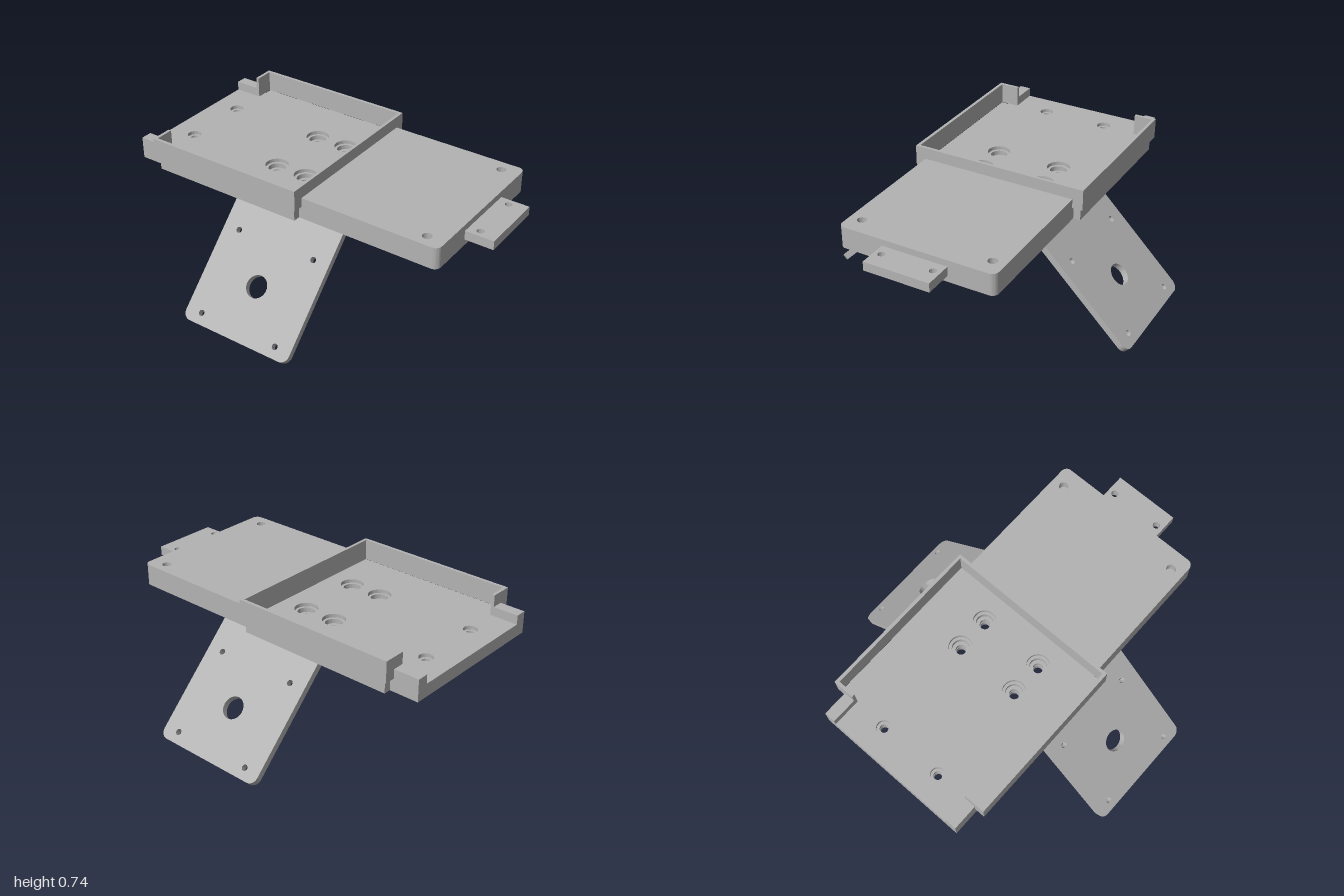
import * as THREE from 'three';
import { toCreasedNormals } from 'three/addons/utils/BufferGeometryUtils.js';

const C = -0.006; // z of the mount's centre line

// Closed outline from [x, z] points
const outline = (pts) => new THREE.Shape(pts.map(([x, z]) => new THREE.Vector2(x, z)));
const rect = (x0, x1, z0, z1) => outline([[x0, z0], [x1, z0], [x1, z1], [x0, z1]]);

// Cuts a round hole in a shape
function drill(shape, x, z, r) {
  shape.holes.push(new THREE.Path().absarc(x, z, r, 0, Math.PI * 2, true));
}

// Rectangle with the two far corners (at +z) rounded
function roundedEnd(x0, x1, z0, z1, r) {
  const s = new THREE.Shape();
  s.moveTo(x0, z0);
  s.lineTo(x1, z0);
  s.lineTo(x1, z1 - r);
  s.absarc(x1 - r, z1 - r, r, 0, Math.PI / 2, false);
  s.lineTo(x0 + r, z1);
  s.absarc(x0 + r, z1 - r, r, Math.PI / 2, Math.PI, false);
  return s;
}

// Extrudes an x-z outline from height y0 up to y1
function slab(shape, y0, y1) {
  const g = new THREE.ExtrudeGeometry(shape, { depth: y1 - y0, bevelEnabled: false, curveSegments: 20 });
  g.rotateX(Math.PI / 2).translate(0, y1, 0);
  return toCreasedNormals(g, 0.5);
}

export function createModel() {
  const model = new THREE.Group();
  model.name = 'mountingPlate';
  const grey = new THREE.MeshStandardMaterial({ color: 0xb3b3b3 });
  grey.name = 'grey';
  const add = (name, geometry, parent = model) => {
    const mesh = new THREE.Mesh(geometry, grey);
    mesh.name = name;
    parent.add(mesh);
    return mesh;
  };

  const mount = new THREE.Group();
  mount.name = 'mount';
  mount.position.z = C;
  model.add(mount);

  // Base plate with the wider skirt, in layers so the screw holes step inwards
  const layers = [
    [0.55, 0.575, 0.027, 0.02],
    [0.575, 0.6, 0.046, 0.022],
    [0.6, 0.62, 0.061, 0.037],
  ];
  for (const [y0, y1, big, small] of layers) {
    const s = new THREE.Shape();
    const r = 0.035;
    s.moveTo(-1, -0.437);
    for (const [x, z] of [[-0.84, -0.437], [-0.84, -0.476], [0.045, -0.476], [0.045, -0.437]]) s.lineTo(x, z);
    s.lineTo(0.843 - r, -0.437);
    s.absarc(0.843 - r, -0.437 + r, r, -Math.PI / 2, 0, false);
    s.lineTo(0.843, 0.437 - r);
    s.absarc(0.843 - r, 0.437 - r, r, 0, Math.PI / 2, false);
    for (const [x, z] of [[0.045, 0.437], [0.045, 0.476], [-0.84, 0.476], [-0.84, 0.437], [-1, 0.437]]) s.lineTo(x, z);
    for (const z of [-0.183, 0.183]) {
      drill(s, -0.285, z, big);
      drill(s, -0.1, z, big);
      drill(s, -0.855, z, small);
    }
    add('basePlate', slab(s, y0, y1), mount);
  }

  // Raised deck with two blind screw holes
  const deck = new THREE.Shape();
  const r = 0.035;
  deck.moveTo(0.055, -0.437);
  deck.lineTo(0.843 - r, -0.437);
  deck.absarc(0.843 - r, -0.437 + r, r, -Math.PI / 2, 0, false);
  deck.lineTo(0.843, 0.437 - r);
  deck.absarc(0.843 - r, 0.437 - r, r, 0, Math.PI / 2, false);
  deck.lineTo(0.055, 0.437);
  for (const z of [-0.367, 0.367]) drill(deck, 0.743, z, 0.025);
  add('deck', slab(deck, 0.62, 0.67), mount);

  // Tray rim, open at the left end with short returns
  const rim = outline([
    [-0.86, -0.375], [-0.86, -0.495], [0.063, -0.495], [0.063, 0.495], [-0.86, 0.495], [-0.86, 0.375],
    [-0.843, 0.375], [-0.843, 0.477], [0.046, 0.477], [0.046, -0.477], [-0.843, -0.477], [-0.843, -0.375],
  ]);
  add('trayRim', slab(rim, 0.62, 0.735), mount);

  // Blocks beside the open end of the tray
  for (const side of [-1, 1]) {
    const z = [0.375 * side, 0.437 * side].sort((a, b) => a - b);
    add('endBlock', slab(rect(-1, -0.855, z[0], z[1]), 0.62, 0.67), mount);
  }

  // End tab with two holes
  const tab = rect(0.84, 1, -0.183, 0.183);
  for (const z of [-0.143, 0.143]) drill(tab, 0.905, z, 0.019);
  add('endTab', slab(tab, 0.585, 0.635), mount);

  // Pad under the plate and its narrow step
  add('underPad', slab(rect(-0.68, -0.4, -0.295, 0.295), 0.47, 0.55), mount);
  add('padStep', slab(rect(-0.4, -0.37, -0.265, 0.265), 0.51, 0.55), mount);

  // Bent bracket: flat centre, two bends and two sloping legs
  const bracket = new THREE.Group();
  bracket.name = 'bracket';
  bracket.position.x = -0.045;
  model.add(bracket);
  const W = 0.33, T = 0.035, R = 0.08, FLAT = 0.327, TOP = 0.55;

  const flat = rect(-W, W, -FLAT, FLAT);
  for (const x of [-0.24, -0.055]) for (const z of [-0.183, 0.183]) drill(flat, x, z + C, 0.024);
  add('bracketFlat', slab(flat, TOP - T, TOP), bracket);

  for (const turn of [0, Math.PI]) {
    const side = new THREE.Group();
    side.name = turn ? 'backLeg' : 'frontLeg';
    side.rotation.y = turn;
    bracket.add(side);

    // Bend profile drawn in z-y, then turned to run along x
    const bend = new THREE.Shape();
    bend.absarc(-FLAT, TOP - R, R, Math.PI / 2, Math.PI * 0.75, false);
    bend.absarc(-FLAT, TOP - R, R - T, Math.PI * 0.75, Math.PI / 2, true);
    const bendGeo = new THREE.ExtrudeGeometry(bend, { depth: 2 * W, bevelEnabled: false, curveSegments: 10 });
    bendGeo.translate(0, 0, -W).rotateY(Math.PI / 2);
    add('legBend', toCreasedNormals(bendGeo, 0.5), side);

    // Leg plate with a large centre hole and four screw holes
    const plate = roundedEnd(-W, W, 0, 0.71, 0.045);
    drill(plate, 0, 0.417, 0.06);
    for (const x of [-0.235, 0.235]) for (const s of [0.185, 0.651]) drill(plate, x, s, 0.016);
    const leg = add('legPlate', slab(plate, -T, 0), side);
    leg.rotation.x = Math.PI / 4;
    leg.position.set(0, TOP - R + R * Math.SQRT1_2, FLAT + R * Math.SQRT1_2);
  }
  return model;
}
